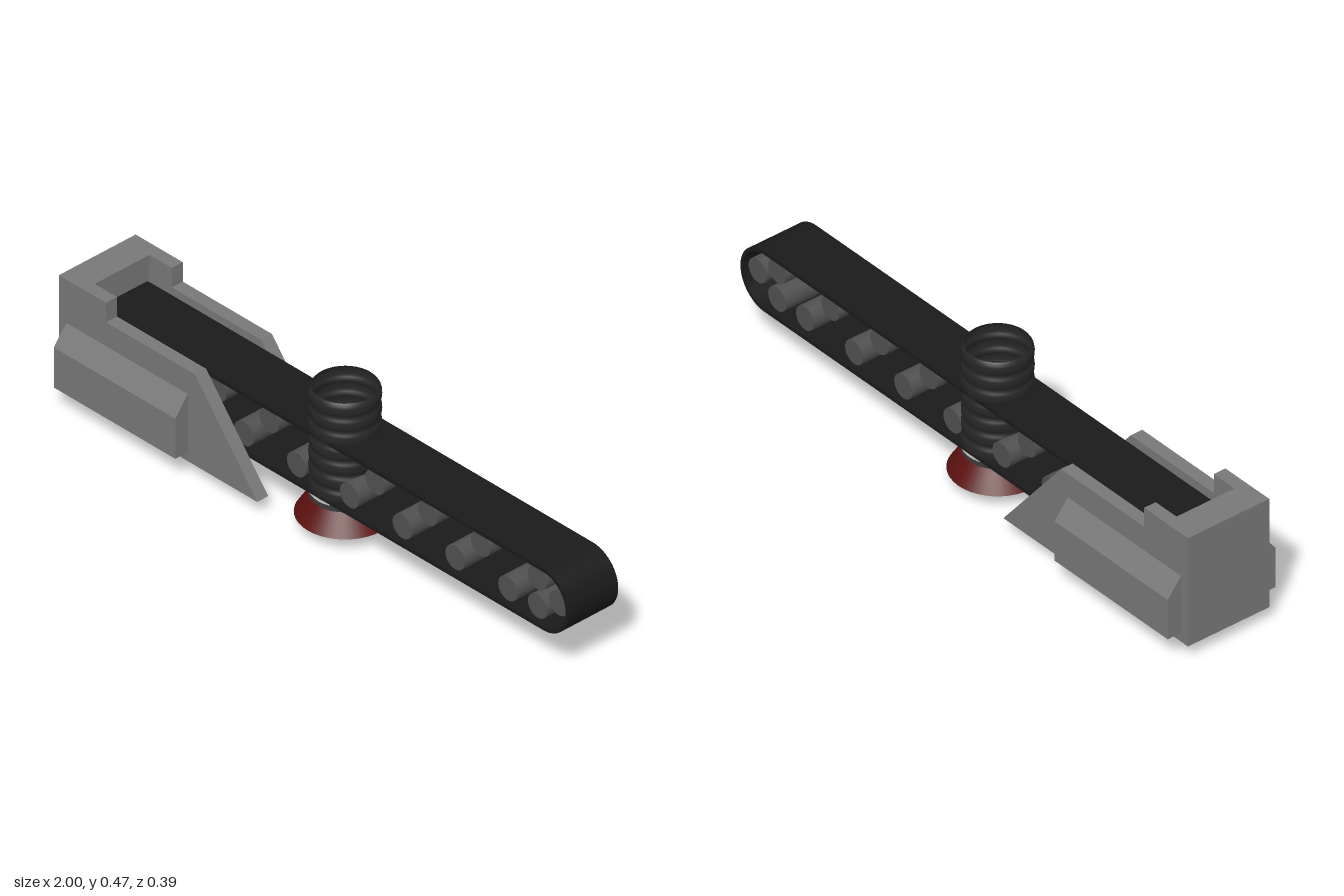
import * as THREE from 'three';

const mat = (color, side = THREE.FrontSide) => new THREE.MeshStandardMaterial({ color, side });

export function createModel() {
  const model = new THREE.Group();
  const grey = mat(0x777777), roller = mat(0x505050);
  const rubber = mat(0x1a1a1a), hose = mat(0x262626, THREE.DoubleSide), red = mat(0x5c1010, THREE.DoubleSide);

  const add = (name, geometry, material, x = 0, y = 0, z = 0) => {
    const mesh = new THREE.Mesh(geometry, material);
    mesh.name = name;
    mesh.position.set(x, y, z);
    model.add(mesh);
    return mesh;
  };
  const shapeOf = (points) => new THREE.Shape(points.map(([x, y]) => new THREE.Vector2(x, y)));
  const extrude = (shape, depth) =>
    new THREE.ExtrudeGeometry(shape, { depth, bevelEnabled: false, curveSegments: 20 });

  // Housing: two sloped side walls, a floor and a solid back block
  const wall = extrude(shapeOf([
    [-1, 0.048], [-0.2, 0.048], [-0.45, 0.352], [-0.81, 0.352], [-0.81, 0.417], [-1, 0.417],
  ]), 0.042);
  add('housingWallLeft', wall, grey, 0, 0, 0.105);
  add('housingWallRight', wall, grey, 0, 0, -0.147);
  add('housingFloor', new THREE.BoxGeometry(0.58, 0.05, 0.21), grey, -0.71, 0.073, 0);
  add('housingBack', new THREE.BoxGeometry(0.1, 0.369, 0.21), grey, -0.95, 0.2325, 0);

  // Side boxes with a sloped top, one on each side of the housing
  const podShape = (s) => shapeOf([
    [0, 0.078], [s * 0.048, 0.078], [s * 0.048, 0.212], [0, 0.272],
  ]);
  for (const s of [1, -1]) {
    // shape x runs along z after the turn, the depth runs along x
    const pod = add(s > 0 ? 'sideBoxFront' : 'sideBoxBack', extrude(podShape(-s), 0.49), grey, -0.97, 0, s * 0.147);
    pod.rotation.y = Math.PI / 2;
  }

  // Conveyor belt: a thin loop with rounded ends
  const loop = (target, x0, x1, cy, r) => {
    target.moveTo(x0, cy - r);
    target.lineTo(x1, cy - r);
    target.absarc(x1, cy, r, -Math.PI / 2, Math.PI / 2, false);
    target.lineTo(x0, cy + r);
    target.absarc(x0, cy, r, Math.PI / 2, Math.PI * 1.5, false);
    return target;
  };
  const beltShape = loop(new THREE.Shape(), -0.88, 0.897, 0.232, 0.103);
  beltShape.holes.push(loop(new THREE.Path(), -0.88, 0.897, 0.232, 0.091));
  add('belt', extrude(beltShape, 0.19), rubber, 0, 0, -0.096);

  // Rollers in two staggered rows plus one at the end of the loop
  const rollerGeo = new THREE.CylinderGeometry(0.039, 0.039, 0.16, 24).rotateX(Math.PI / 2);
  const spots = [[0.86, 0.28], [0.86, 0.185], [0.945, 0.235]];
  for (let i = 0; i < 7; i++) {
    spots.push([0.63 - i * 0.213, 0.28]);
    spots.push([0.74 - i * 0.213, 0.185]);
  }
  for (const [x, y] of spots) add('roller', rollerGeo, roller, x, y, 0);

  // Ribbed hose: seven bulges stacked, open at both ends
  const ribs = [];
  const pitch = 0.0486;
  for (let i = 0; i < 7; i++) {
    for (let k = i ? 1 : 0; k <= 6; k++) {
      const t = k / 6;
      ribs.push(new THREE.Vector2(0.095 + 0.008 * Math.sqrt(Math.sin(Math.PI * Math.min(t, 0.99999))), 0.129 + (i + t) * pitch));
    }
  }
  add('ribbedHose', new THREE.LatheGeometry(ribs, 40), hose);
  add('hoseCollar', new THREE.CylinderGeometry(0.104, 0.104, 0.016, 40, 1, true), mat(0x3a3a3a, THREE.DoubleSide), 0, 0.12, 0);

  // Open nozzle and the wheel beneath it
  add('nozzle', new THREE.CylinderGeometry(0.101, 0.143, 0.065, 40, 1, true), red, 0, 0.08, 0);
  add('wheel', new THREE.CylinderGeometry(0.042, 0.042, 0.023, 28).rotateX(Math.PI / 2), mat(0x333333), 0, 0.042, 0.0115);

  return model;
}
